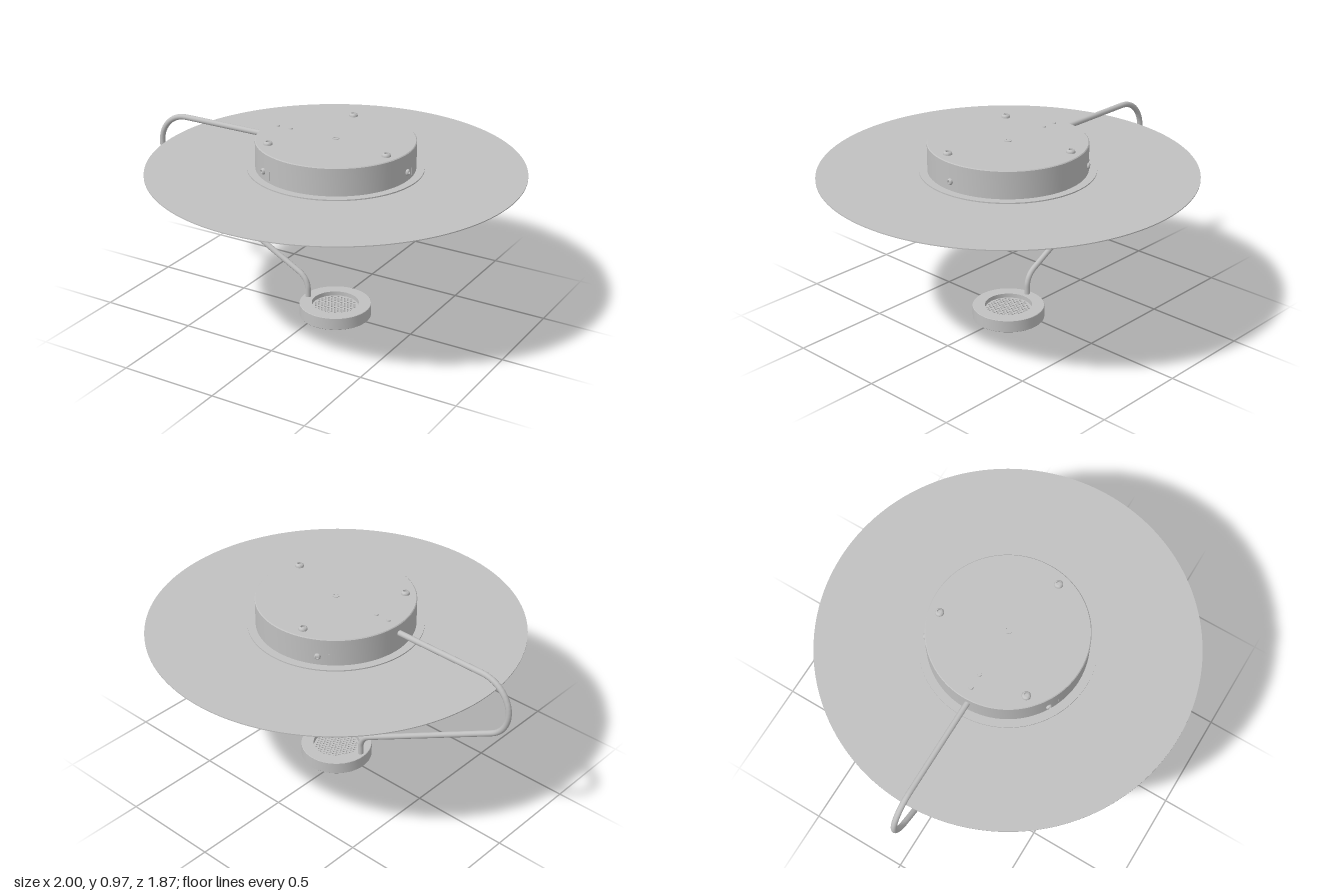
import * as THREE from 'three';
import { toCreasedNormals } from 'three/addons/utils/BufferGeometryUtils.js';

const CX = 0.065; // shared axis of disc, housing and base

export function createModel() {
  const model = new THREE.Group();
  model.name = 'discLamp';
  const metal = new THREE.MeshStandardMaterial({ color: 0xc0c0c0 });
  metal.name = 'satin grey';

  const add = (name, geometry, parent = model) => {
    const mesh = new THREE.Mesh(geometry, metal);
    mesh.name = name;
    parent.add(mesh);
    return mesh;
  };
  // Solid of revolution from [radius, height] pairs, with crisp edges
  const turned = (profile, sides = 64) => toCreasedNormals(
    new THREE.LatheGeometry(profile.map(([r, y]) => new THREE.Vector2(r, y)), sides), 0.5);

  // Everything turned sits on the shared axis
  const body = new THREE.Group();
  body.name = 'body';
  body.position.x = CX;
  model.add(body);

  // Large thin reflector disc
  add('reflectorDisc', turned([[0, 0.803], [0.935, 0.803], [0.935, 0.808], [0, 0.808]], 128), body);

  // Round housing with a thin flange and softened top edge
  add('housingFlange', turned([[0.39, 0.808], [0.435, 0.808], [0.435, 0.814], [0.39, 0.814]], 96), body);
  add('housing', turned([[0, 0.808], [0.394, 0.808], [0.394, 0.951], [0.390, 0.955], [0, 0.955]], 96), body);

  // Domed screw with a hexagonal socket, standing on y = 0
  const screwGeometry = (r, h) => {
    const dome = [[r, 0], [r, h * 0.25], [r * 0.9, h * 0.65], [r * 0.72, h * 0.9], [r * 0.5, h]];
    return turned([...dome, [r * 0.5, h * 0.35], [0, h * 0.35]], 18);
  };
  const topScrew = screwGeometry(0.022, 0.016);
  const sideScrew = screwGeometry(0.016, 0.014);

  // Three top screws, three side screws and three seams, spaced by thirds
  for (let i = 0; i < 3; i++) {
    const third = (i * Math.PI * 2) / 3;

    const a = third + 0.255;
    add('topScrew', topScrew, body).position.set(0.337 * Math.cos(a), 0.955, 0.337 * Math.sin(a));

    const side = add('sideScrew', sideScrew, body);
    side.position.set(0.392 * Math.cos(third), 0.86, 0.392 * Math.sin(third));
    side.rotation.set(0, -third, -Math.PI / 2, 'YXZ');

    const s = third - 0.14;
    const seam = add('housingSeam', new THREE.BoxGeometry(0.004, 0.055, 0.004), body);
    seam.position.set(0.393 * Math.cos(s), 0.847, 0.393 * Math.sin(s));
    seam.rotation.y = -s;
  }

  // Centre plug and two small pins on the housing top
  add('centrePlug', turned([[0.018, 0.955], [0.018, 0.958], [0.012, 0.958], [0.012, 0.956], [0, 0.956]], 24), body);
  for (const x of [-0.335, -0.26]) {
    const pin = add('pin', new THREE.CylinderGeometry(0.009, 0.011, 0.006, 16), body);
    pin.position.set(x, 0.958, 0);
  }

  // Bent tubular arm
  const arc = (cx, cy, r, from, to, n) => Array.from({ length: n + 1 }, (_, i) => {
    const t = from + ((to - from) * i) / n;
    return new THREE.Vector3(cx + r * Math.cos(t), cy + r * Math.sin(t), 0.014);
  });
  const slope = Math.atan2(0.88, 0.475);
  const points = [
    new THREE.Vector3(-0.31, 0.905, 0.014),
    ...arc(-0.825, 0.745, 0.16, Math.PI / 2, Math.PI + slope, 20),
    ...arc(-0.19, 0.105, 0.1, slope, 0, 8),
    new THREE.Vector3(-0.09, 0.055, 0.014),
  ];
  const path = new THREE.CurvePath();
  for (let i = 1; i < points.length; i++) path.add(new THREE.LineCurve3(points[i - 1], points[i]));
  add('arm', new THREE.TubeGeometry(path, 200, 0.0145, 16, false));

  // Base ring, recessed above for the grille and below for the fins
  const base = new THREE.Group();
  base.name = 'base';
  base.position.x = CX;
  model.add(base);
  add('baseRing', turned([
    [0, 0.022], [0.155, 0.022], [0.155, 0], [0.181, 0], [0.183, 0.002],
    [0.183, 0.063], [0.181, 0.065], [0.12, 0.065], [0.12, 0.03], [0, 0.03],
  ]), base);

  // Concentric fins and centre button on the underside
  for (let r = 0.052; r < 0.15; r += 0.0155) {
    add('coolingFin', turned([[r, 0.022], [r, 0.003], [r + 0.007, 0.003], [r + 0.007, 0.022]], 48), base);
  }
  add('centreButton', turned([[0, 0.002], [0.034, 0.002], [0.036, 0.004], [0.036, 0.022]], 32), base);

  // Perforated grille in the top recess
  const plate = new THREE.Shape().absarc(0, 0, 0.1195, 0, Math.PI * 2, false);
  const pitch = 0.019;
  for (let row = -6; row <= 6; row++) {
    for (let col = -6; col <= 6; col++) {
      const x = (col + (row % 2 ? 0.5 : 0)) * pitch;
      const y = row * pitch * 0.866;
      if (Math.hypot(x, y) > 0.108) continue;
      plate.holes.push(new THREE.Path().absarc(x, y, 0.0065, 0, Math.PI * 2, true));
    }
  }
  const grille = add('grille', new THREE.ExtrudeGeometry(plate, {
    depth: 0.005, bevelEnabled: false, curveSegments: 10,
  }), base);
  grille.rotation.x = -Math.PI / 2;
  grille.position.y = 0.038;

  return model;
}
